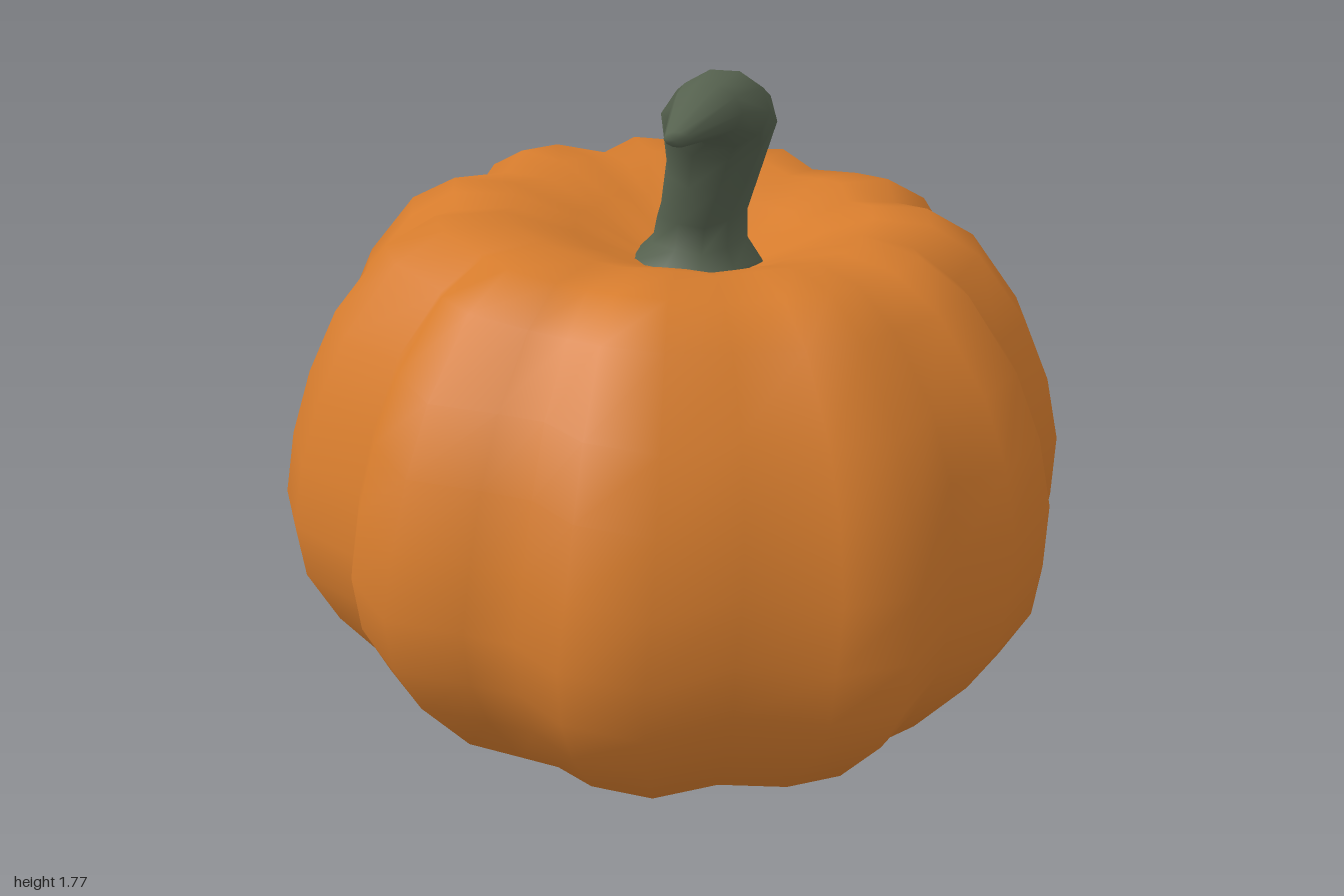
import * as THREE from 'three';

// Closed skin over a list of rings (each the same number of points), listed upward
function skin(rings, bottom, top) {
  const n = rings[0].length;
  const pos = [...rings.flat(2), ...bottom, ...top];
  const index = [];
  const b = rings.length * n, t = b + 1, last = (rings.length - 1) * n;
  for (let j = 0; j < n; j++) {
    const k = (j + 1) % n;
    for (let i = 0; i < rings.length - 1; i++) {
      const lo = i * n, hi = lo + n;
      index.push(lo + j, hi + j, lo + k, hi + j, hi + k, lo + k);
    }
    index.push(b, j, k, last + j, t, last + k);
  }
  const g = new THREE.BufferGeometry();
  g.setAttribute('position', new THREE.Float32BufferAttribute(pos, 3));
  g.setIndex(index);
  g.computeVertexNormals();
  return g;
}

// Lobed outline at the widest level: x, z
const outline = [
  [0.21, -1.0], [0.37, -0.86], [0.58, -0.81], [0.73, -0.73], [0.78, -0.53],
  [0.94, -0.40], [0.98, -0.21], [0.92, -0.02], [0.98, 0.18], [0.91, 0.37],
  [0.79, 0.50], [0.73, 0.70], [0.58, 0.80], [0.37, 0.84], [0.21, 0.99],
  [0.02, 0.99], [-0.10, 0.92], [-0.22, 0.92], [-0.40, 0.93], [-0.54, 0.80],
  [-0.58, 0.71], [-0.77, 0.63], [-0.87, 0.48], [-0.86, 0.26], [-0.94, 0.12],
  [-0.99, -0.01], [-0.86, -0.28], [-0.87, -0.49], [-0.76, -0.65], [-0.56, -0.73],
  [-0.47, -0.90], [-0.27, -0.96], [-0.08, -0.93], [0.02, -0.98],
];

// Body profile: scale of the outline, height, rib strength, shift in x and z
const profile = [
  [0.18, 0.02, 0.2, 0, 0], [0.38, 0.025, 0.3, 0, 0], [0.57, 0.07, 0.4, 0, 0],
  [0.79, 0.20, 0.7, 0, 0], [0.92, 0.38, 0.9, 0, 0], [0.985, 0.52, 1, 0, 0],
  [1.00, 0.66, 1, 0, 0], [0.985, 0.82, 1, 0.015, -0.005], [0.94, 0.98, 1, 0.02, -0.015],
  [0.87, 1.13, 1, 0.02, -0.025], [0.74, 1.285, 1, 0.02, -0.03], [0.62, 1.355, 0.9, 0.02, -0.03],
  [0.47, 1.365, 0.7, 0.03, -0.03], [0.31, 1.31, 0.4, 0.04, -0.04], [0.17, 1.245, 0.2, 0.05, -0.04],
];

function bodyGeometry() {
  const rings = profile.map(([s, y, rib, dx, dz]) => outline.map(([x, z]) => {
    const r = Math.hypot(x, z);
    const k = s * (rib + (1 - rib) * 0.95 / r);
    const dip = y > 1.2 ? (0.97 - r) * 0.3 * rib : 0; // grooves sink into the rim
    return [x * k + dx, y - dip - 0.055 * x * k, z * k + dz];
  }));
  return skin(rings, [0, 0.025, 0], [0.06, 1.22, -0.04]);
}

// Stem sections: centre x, y, z, half width, half depth, forward tilt
const sections = [
  [0.05, 1.19, -0.045, 0.19, 0.20, 0.0], [0.05, 1.245, -0.045, 0.165, 0.175, 0.0],
  [0.06, 1.30, -0.04, 0.12, 0.13, 0.1], [0.07, 1.38, -0.02, 0.112, 0.115, 0.2],
  [0.11, 1.50, 0.02, 0.118, 0.112, 0.35], [0.135, 1.63, 0.08, 0.14, 0.113, 0.8],
  [0.175, 1.685, 0.21, 0.11, 0.088, 1.35], [0.175, 1.715, 0.36, 0.08, 0.06, 1.6],
  [0.16, 1.70, 0.55, 0.028, 0.018, 1.8],
];

function stemGeometry() {
  const sides = 10;
  const rings = sections.map(([cx, cy, cz, w, d, tilt], i) =>
    Array.from({ length: sides }, (_, j) => {
      const a = j / sides * Math.PI * 2;
      const ridge = i < 4 ? (j % 2 ? 0.92 : 1.04) : 1;
      const v = d * ridge * Math.sin(a);
      return [cx + w * ridge * Math.cos(a), cy - v * Math.sin(tilt), cz + v * Math.cos(tilt)];
    }));
  return skin(rings, [0.05, 1.19, -0.045], [0.16, 1.70, 0.56]);
}

export function createModel() {
  const orange = new THREE.MeshStandardMaterial({ color: 0xd67c2d });
  orange.name = 'pumpkin orange';
  const green = new THREE.MeshStandardMaterial({ color: 0x56624f });
  green.name = 'stem green';

  const group = new THREE.Group();
  group.name = 'pumpkin';
  const body = new THREE.Mesh(bodyGeometry(), orange);
  body.name = 'body';
  const stem = new THREE.Mesh(stemGeometry(), green);
  stem.name = 'stem';
  group.add(body, stem);
  return group;
}
